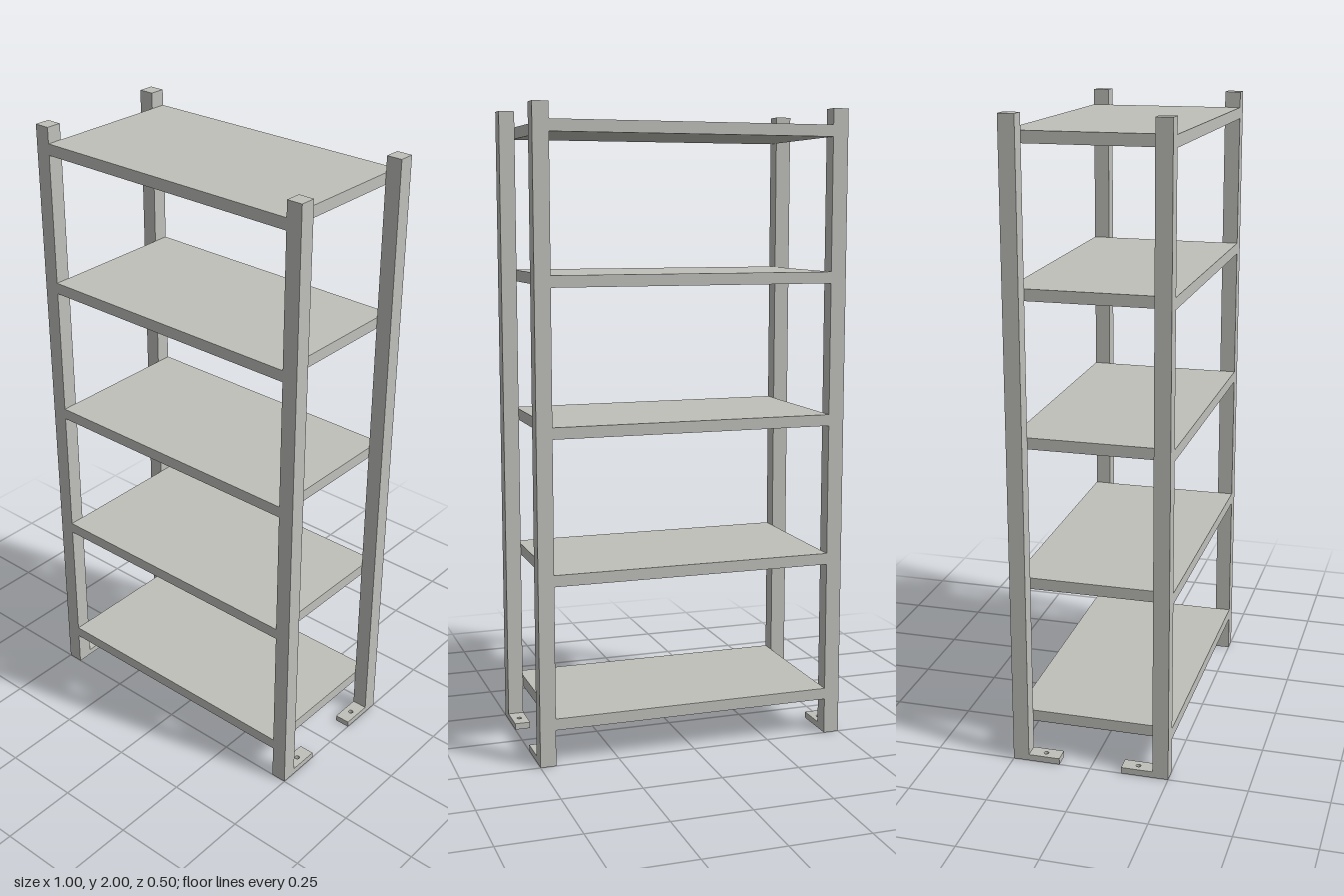
import * as THREE from 'three';

const WIDTH = 1, DEPTH = 0.5, HEIGHT = 2, POST = 0.05;
const SHELF_THICKNESS = 0.036, SHELF_TOPS = [0.15, 0.6, 1.05, 1.5, 1.95];
const FOOT_LENGTH = 0.1, FOOT_HEIGHT = 0.02, HOLE_RADIUS = 0.0075;

// Flat foot plate with a bolt hole, centred in x and z, resting on y = 0
function footGeometry() {
  const w = POST / 2, l = FOOT_LENGTH / 2;
  const outline = new THREE.Shape([
    new THREE.Vector2(-w, -l), new THREE.Vector2(w, -l),
    new THREE.Vector2(w, l), new THREE.Vector2(-w, l),
  ]);
  const hole = new THREE.Path();
  hole.absarc(0, 0, HOLE_RADIUS, 0, Math.PI * 2, true);
  outline.holes.push(hole);
  return new THREE.ExtrudeGeometry(outline, { depth: FOOT_HEIGHT, bevelEnabled: false, curveSegments: 24 })
    .rotateX(-Math.PI / 2);
}

export function createModel() {
  const model = new THREE.Group();
  model.name = 'shelvingUnit';
  const metal = new THREE.MeshStandardMaterial({ color: 0xc0c0bb });
  metal.name = 'light grey metal';

  const add = (name, geometry, x, y, z) => {
    const mesh = new THREE.Mesh(geometry, metal);
    mesh.name = name;
    mesh.position.set(x, y, z);
    model.add(mesh);
  };

  // Corner posts, each with a foot pointing inward along the depth
  const post = new THREE.BoxGeometry(POST, HEIGHT, POST);
  const foot = footGeometry();
  for (const sx of [1, -1]) {
    for (const sz of [1, -1]) {
      const corner = (sz > 0 ? 'front' : 'back') + (sx > 0 ? 'Left' : 'Right');
      const x = sx * (WIDTH - POST) / 2;
      add(corner + 'Post', post, x, HEIGHT / 2, sz * (DEPTH - POST) / 2);
      add(corner + 'Foot', foot, x, 0, sz * (DEPTH / 2 - POST - FOOT_LENGTH / 2));
    }
  }

  // Shelves fitted between the left and right posts, flush front and back
  const shelf = new THREE.BoxGeometry(WIDTH - 2 * POST, SHELF_THICKNESS, DEPTH);
  SHELF_TOPS.forEach((top, i) => add('shelf' + (i + 1), shelf, 0, top - SHELF_THICKNESS / 2, 0));

  return model;
}
